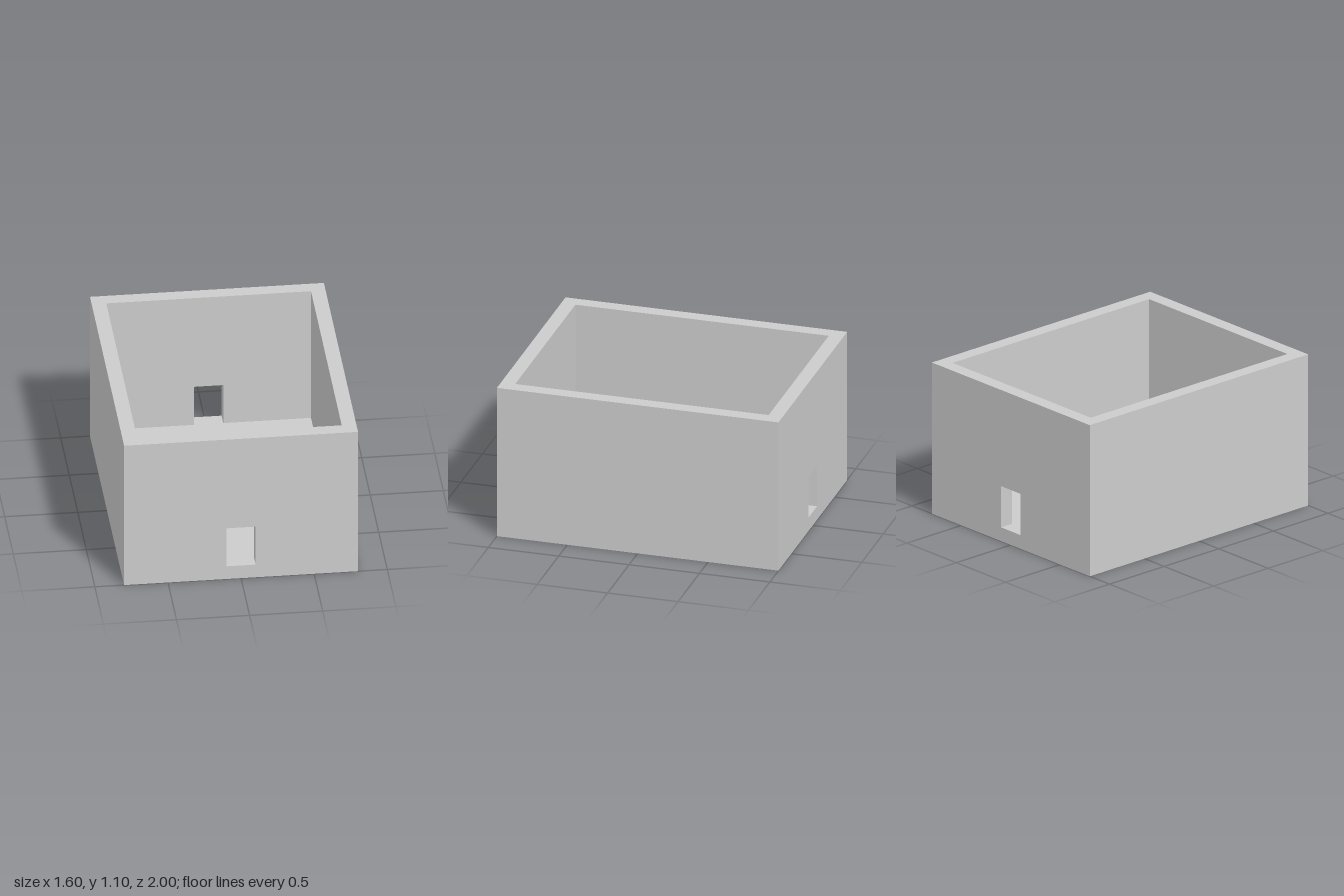
import * as THREE from 'three';
import { mergeGeometries } from 'three/addons/utils/BufferGeometryUtils.js';

const W = 1.6, D = 2, H = 1.1, T = 0.1;      // outer size and wall thickness
const DOOR_W = 0.2, DOOR_TOP = 0.4;          // doorways start at floor level (T)

const rect = (Type, w, y0, y1) => {
  const p = new Type();
  p.moveTo(-w / 2, y0).lineTo(w / 2, y0).lineTo(w / 2, y1).lineTo(-w / 2, y1).closePath();
  return p;
};

// Flat upright panel facing +z, optionally pierced by the doorway
function panel(w, y0, door) {
  const shape = rect(THREE.Shape, w, y0, H);
  if (door && y0 < T) shape.holes.push(rect(THREE.Path, DOOR_W, T, DOOR_TOP));
  if (door && y0 === T) {
    // the opening reaches the bottom edge, so cut it as a notch
    const x = DOOR_W / 2;
    return new THREE.ShapeGeometry(new THREE.Shape([
      [-w / 2, T], [-x, T], [-x, DOOR_TOP], [x, DOOR_TOP],
      [x, T], [w / 2, T], [w / 2, H], [-w / 2, H],
    ].map(([a, b]) => new THREE.Vector2(a, b))));
  }
  return new THREE.ShapeGeometry(shape);
}

// Four panels around the centre, facing outward or inward
function wallRing(w, d, y0, inward) {
  const parts = [];
  for (let i = 0; i < 4; i++) {
    const isEnd = i % 2 === 0;
    const g = panel(isEnd ? w : d, y0, isEnd);
    if (inward) g.rotateY(Math.PI);
    g.translate(0, 0, (isEnd ? d : w) / 2);
    parts.push(g.rotateY(i * Math.PI / 2));
  }
  return mergeGeometries(parts);
}

// Jambs, lintel and sill lining the front opening
function doorwayLining() {
  const h = DOOR_TOP - T, z = (D - T) / 2, y = (DOOR_TOP + T) / 2;
  const jamb = (s) => new THREE.PlaneGeometry(T, h).rotateY(-s * Math.PI / 2).translate(s * DOOR_W / 2, y, z);
  const level = (s, py) => new THREE.PlaneGeometry(DOOR_W, T).rotateX(-s * Math.PI / 2).translate(0, py, z);
  return mergeGeometries([jamb(1), jamb(-1), level(1, T), level(-1, DOOR_TOP)]);
}

export function createModel() {
  const group = new THREE.Group();
  const material = new THREE.MeshStandardMaterial({ color: 0xcccccc });
  const add = (name, geometry) => {
    const mesh = new THREE.Mesh(geometry, material);
    mesh.name = name;
    group.add(mesh);
  };
  const iw = W - 2 * T, id = D - 2 * T;

  add('outerWalls', wallRing(W, D, 0, false));
  add('innerWalls', wallRing(iw, id, T, true));

  // Top edge of the walls
  const rim = rect(THREE.Shape, W, -D / 2, D / 2);
  rim.holes.push(rect(THREE.Path, iw, -id / 2, id / 2));
  add('rim', new THREE.ShapeGeometry(rim).rotateX(-Math.PI / 2).translate(0, H, 0));

  // Floor inside and underside
  add('floor', new THREE.PlaneGeometry(iw, id).rotateX(-Math.PI / 2).translate(0, T, 0));
  add('underside', new THREE.PlaneGeometry(W, D).rotateX(Math.PI / 2));

  // Openings through the two end walls
  add('frontDoorway', doorwayLining());
  add('backDoorway', doorwayLining().rotateY(Math.PI));

  return group;
}
